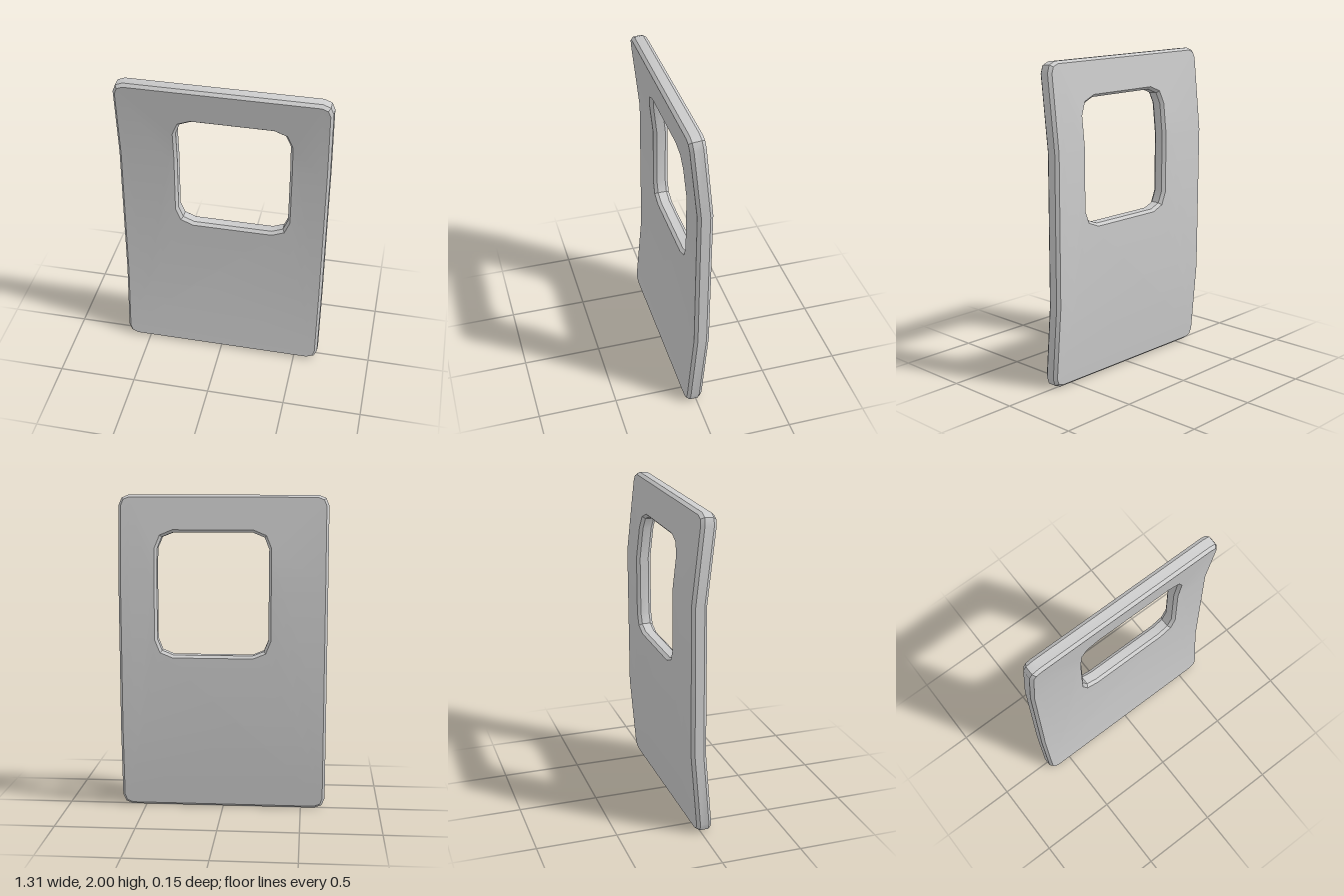
import * as THREE from 'three';
import { toCreasedNormals } from 'three/addons/utils/BufferGeometryUtils.js';

const HALF = 0.0475;   // half thickness of the panel
const BEVEL = 0.02;
const BENDS = [0.53, 1.47];
// Centre line of the panel in side view: [y, z]
const SPINE = [[0, 0.021], [0.53, -0.024], [1.47, -0.029], [2, 0.028]];

// Rectangle whose corners are cut by two short facets
function cutRect(x0, y0, x1, y1, r) {
  const k = r * 0.29, pts = [];
  const corners = [[x1, y0, -1, 1], [x1, y1, -1, -1], [x0, y1, 1, -1], [x0, y0, 1, 1]];
  corners.forEach(([x, y, sx, sy], i) => {
    const c = [[x + sx * r, y], [x + sx * k, y + sy * k], [x, y + sy * r]];
    pts.push(...(i % 2 ? c.reverse() : c));
  });
  return pts.map(([x, y]) => new THREE.Vector2(x, y));
}

// Keep the part of a polygon on one side of a horizontal plane
function clip(poly, y, sign) {
  const out = [];
  poly.forEach((a, i) => {
    const b = poly[(i + 1) % poly.length];
    const da = (a.y - y) * sign, db = (b.y - y) * sign;
    if (da >= 0) out.push(a);
    if (da * db < 0) out.push(a.clone().lerp(b, da / (da - db)));
  });
  return out;
}

// Cut every triangle at the given height so the panel can fold there
function slice(geometry, y) {
  const p = geometry.attributes.position, pts = [];
  for (let i = 0; i < p.count; i += 3) {
    const tri = [0, 1, 2].map(j => new THREE.Vector3().fromBufferAttribute(p, i + j));
    for (const sign of [1, -1]) {
      const poly = clip(tri, y, sign);
      for (let j = 2; j < poly.length; j++) pts.push(poly[0], poly[j - 1], poly[j]);
    }
  }
  return new THREE.BufferGeometry().setFromPoints(pts);
}

function spineZ(y) {
  let i = 0;
  while (i < SPINE.length - 2 && y > SPINE[i + 1][0]) i++;
  const [[y0, z0], [y1, z1]] = [SPINE[i], SPINE[i + 1]];
  return z0 + (z1 - z0) * (y - y0) / (y1 - y0);
}

export function createModel() {
  const group = new THREE.Group();
  group.name = 'windowPanel';

  // Bevelled slab with an off-centre window
  const shape = new THREE.Shape(cutRect(-0.655, 0, 0.655, 2, 0.065));
  shape.holes.push(new THREE.Path(cutRect(-0.288, 0.998, 0.412, 1.768, 0.1)));
  let geo = new THREE.ExtrudeGeometry(shape, {
    depth: 2 * (HALF - BEVEL), bevelThickness: BEVEL, bevelSize: 0.016,
    bevelOffset: -0.016, bevelSegments: 1, steps: 1,
  });
  geo.translate(0, 0, BEVEL - HALF);
  for (const y of BENDS) geo = slice(geo, y);

  // Fold top and bottom forward, tilting the top edge with its fold
  const p = geo.attributes.position;
  for (let i = 0; i < p.count; i++) {
    const y = p.getY(i), z = p.getZ(i);
    const tilt = Math.max(0, (y - BENDS[1]) / (2 - BENDS[1]));
    p.setY(i, y - 0.1 * tilt * (z + HALF - BEVEL));
    p.setZ(i, z + spineZ(y));
  }

  const panel = new THREE.Mesh(toCreasedNormals(geo, 0.5),
    new THREE.MeshStandardMaterial({ color: 0xcccccc }));
  panel.name = 'panel';
  group.add(panel);
  return group;
}
